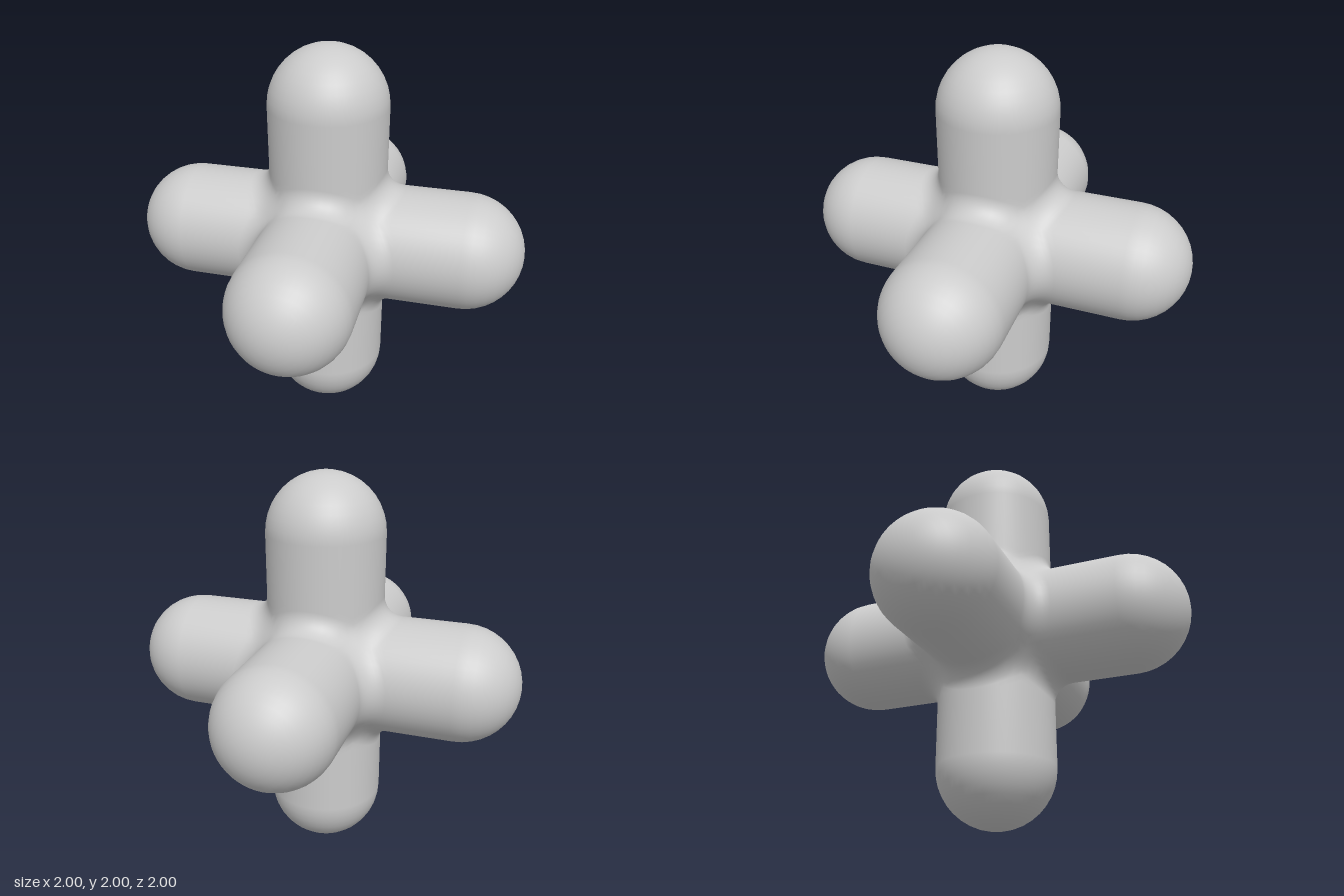
import * as THREE from 'three';

const R = 0.295;       // arm radius
const FILLET = 0.095;  // blend radius where arms meet
const CAP = 0.705;     // centre of each rounded end
const SIDES = 48, BODY_ROWS = 14, CAP_ROWS = 10;

// Three crossing cylinders joined with a rounded fillet; zero on the surface
function field(x, y, z) {
  const d = [Math.hypot(y, z) - R, Math.hypot(x, z) - R, Math.hypot(x, y) - R];
  const inner = Math.hypot(...d.map((v) => Math.max(FILLET - v, 0)));
  return Math.max(FILLET, Math.min(...d)) - inner;
}

// Root of an increasing function
function solve(f) {
  let lo = 0.05, hi = 1;
  for (let i = 0; i < 40; i++) {
    const mid = (lo + hi) / 2;
    if (f(mid) < 0) lo = mid; else hi = mid;
  }
  return (lo + hi) / 2;
}

function fieldNormal(x, y, z) {
  const e = 1e-4;
  return new THREE.Vector3(
    field(x + e, y, z) - field(x - e, y, z),
    field(x, y + e, z) - field(x, y - e, z),
    field(x, y, z + e) - field(x, y, z - e)
  ).normalize();
}

// One arm along +z, from the shared seam with its neighbours to the rounded tip
function armGeometry() {
  const positions = [], normals = [], indices = [];
  const rows = BODY_ROWS + CAP_ROWS;
  for (let i = 0; i <= SIDES; i++) {
    const a = (i / SIDES) * Math.PI * 2;
    const c = Math.cos(a), s = Math.sin(a);
    const slope = Math.max(Math.abs(c), Math.abs(s));
    const seam = solve((p) => field(p * c, p * s, p * slope)) * slope;
    for (let j = 0; j <= rows; j++) {
      let p, z, n;
      if (j < BODY_ROWS) {
        z = seam + (CAP - seam) * (j / BODY_ROWS) ** 2;
        p = solve((q) => field(q * c, q * s, z));
        n = fieldNormal(p * c, p * s, z);
      } else {
        const t = ((j - BODY_ROWS) / CAP_ROWS) * Math.PI / 2;
        p = R * Math.cos(t);
        z = CAP + R * Math.sin(t);
        n = new THREE.Vector3(c * Math.cos(t), s * Math.cos(t), Math.sin(t));
      }
      positions.push(p * c, p * s, z);
      normals.push(n.x, n.y, n.z);
      if (i < SIDES && j < rows) {
        const k = i * (rows + 1) + j, m = k + rows + 1;
        indices.push(k, m, m + 1);
        if (j < rows - 1) indices.push(k, m + 1, k + 1);
      }
    }
  }
  const geometry = new THREE.BufferGeometry();
  geometry.setAttribute('position', new THREE.Float32BufferAttribute(positions, 3));
  geometry.setAttribute('normal', new THREE.Float32BufferAttribute(normals, 3));
  geometry.setIndex(indices);
  return geometry;
}

export function createModel() {
  const model = new THREE.Group();
  model.name = 'sixArmJoint';
  const material = new THREE.MeshStandardMaterial({ color: 0xcccccc });
  const geometry = armGeometry();
  const q = Math.PI / 2;

  // The same arm turned to face each of the six directions
  const arms = [
    ['frontArm', 0, 0], ['backArm', 0, 2 * q],
    ['leftArm', 0, q], ['rightArm', 0, -q],
    ['topArm', -q, 0], ['bottomArm', q, 0],
  ];
  for (const [name, rx, ry] of arms) {
    const arm = new THREE.Mesh(geometry, material);
    arm.name = name;
    arm.rotation.set(rx, ry, 0);
    arm.position.y = 1;
    model.add(arm);
  }
  return model;
}
